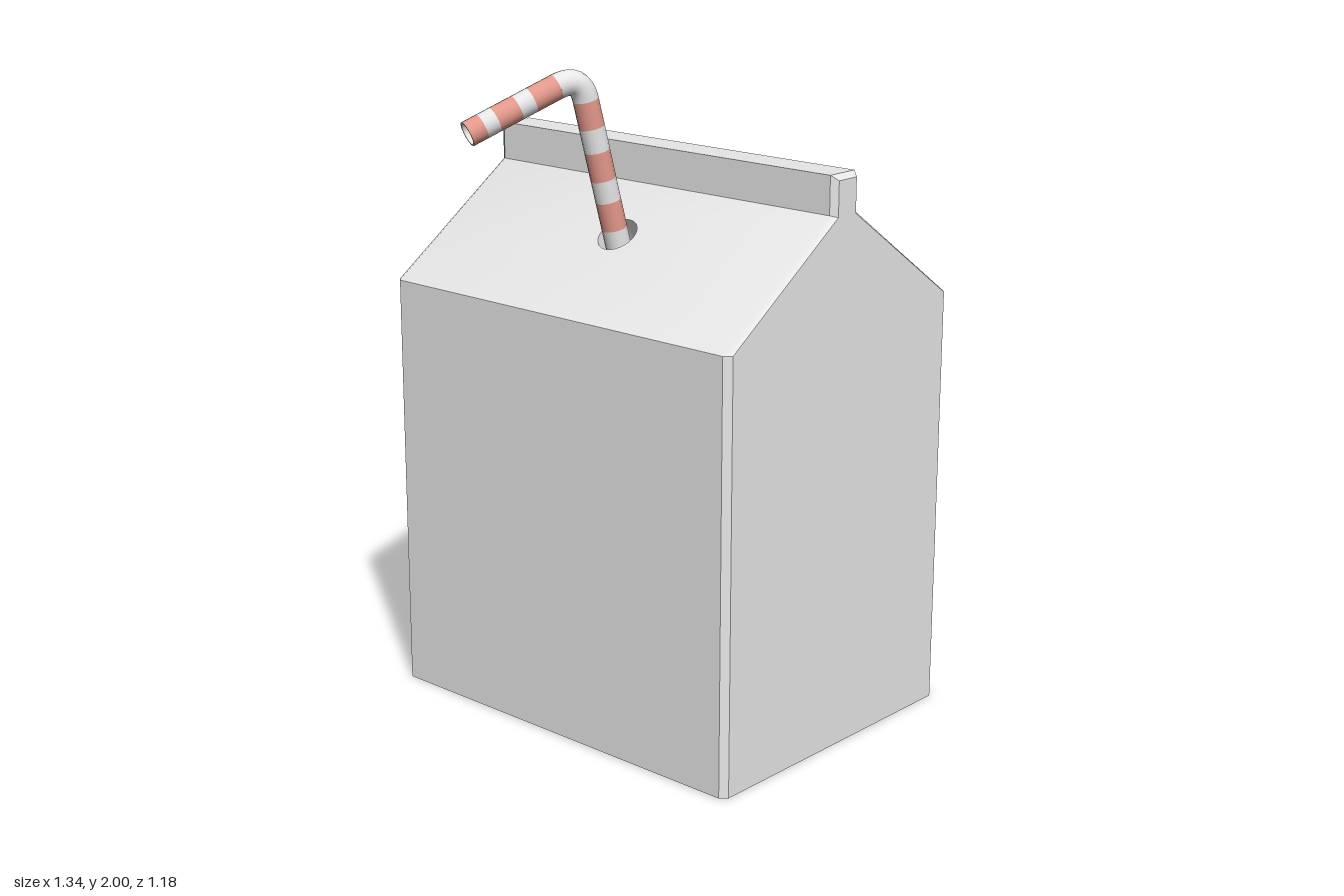
import * as THREE from 'three';
import { mergeGeometries, toCreasedNormals } from 'three/addons/utils/BufferGeometryUtils.js';

const V = (x, y, z) => new THREE.Vector3(x, y, z);

// Carton side profile as [z, y], from the front foot over the gable to the back foot
const OUTER = [[0.425, 0], [0.425, 1.31], [-0.03, 1.625], [-0.03, 1.74], [-0.14, 1.74], [-0.14, 1.625], [-0.59, 1.31], [-0.59, 0]];
// The same profile drawn in for the chamfered ends
const INNER = [[0.405, 0], [0.405, 1.31], [-0.045, 1.62], [-0.045, 1.725], [-0.125, 1.725], [-0.125, 1.62], [-0.57, 1.31], [-0.57, 0]];
const ROOF = 1; // profile edge that carries the straw hole
const HOLE = { t: 0.615, r: 0.063, depth: 0.08 };

function plain(geometry) {
  const g = geometry.index ? geometry.toNonIndexed() : geometry;
  g.deleteAttribute('uv');
  g.deleteAttribute('normal');
  return g;
}

// Walls, chamfers, floor and rear roof, spanned between cross-sections along x
function shellGeometry() {
  const sections = [[-0.67, INNER], [-0.65, OUTER], [0.65, OUTER], [0.67, INNER]];
  const pos = [];
  for (let s = 0; s < 3; s++) {
    const [x0, p] = sections[s], [x1, q] = sections[s + 1];
    for (let i = 0; i < p.length; i++) {
      if (s === 1 && i === ROOF) continue;
      const j = (i + 1) % p.length;
      const a = [x0, p[i][1], p[i][0]], b = [x1, q[i][1], q[i][0]];
      const c = [x1, q[j][1], q[j][0]], d = [x0, p[j][1], p[j][0]];
      pos.push(...a, ...b, ...c, ...a, ...c, ...d);
    }
  }
  const g = new THREE.BufferGeometry();
  g.setAttribute('position', new THREE.Float32BufferAttribute(pos, 3));
  return g;
}

// Flat gable end; side is +1 or -1
function endGeometry(side) {
  const shape = new THREE.Shape(INNER.map(([z, y]) => new THREE.Vector2(-side * z, y)));
  return plain(new THREE.ShapeGeometry(shape).rotateY(side * Math.PI / 2).translate(side * 0.67, 0, 0));
}

// Front roof panel with a round hole, laid out in x and the fraction t up the slope
function frontRoofGeometry() {
  const [z0, y0] = OUTER[ROOF], [z1, y1] = OUTER[ROOF + 1];
  const shape = new THREE.Shape([[-0.65, 0], [0.65, 0], [0.65, 1], [-0.65, 1]].map(p => new THREE.Vector2(...p)));
  const hole = new THREE.Path();
  hole.absellipse(0, HOLE.t, HOLE.r, HOLE.r / Math.hypot(z1 - z0, y1 - y0), 0, Math.PI * 2, true);
  shape.holes.push(hole);
  const g = new THREE.ShapeGeometry(shape, 12);
  const p = g.attributes.position;
  for (let i = 0; i < p.count; i++) {
    const t = p.getY(i);
    p.setXYZ(i, p.getX(i), y0 * (1 - t) + y1 * t, z0 * (1 - t) + z1 * t);
  }
  return plain(g);
}

export function createModel() {
  const white = new THREE.MeshStandardMaterial({ color: 0xececec });
  white.name = 'white';
  const red = new THREE.MeshStandardMaterial({ color: 0xe5998c });
  red.name = 'soft red';

  const model = new THREE.Group();
  model.name = 'drinkCarton';
  const add = (parent, name, geometry, material) => {
    const mesh = new THREE.Mesh(geometry, material);
    mesh.name = name;
    parent.add(mesh);
    return mesh;
  };

  // Carton
  const parts = [shellGeometry(), endGeometry(1), endGeometry(-1), frontRoofGeometry()];
  add(model, 'carton', toCreasedNormals(mergeGeometries(parts), 0.62), white);

  // Straw hole: a short well sunk square to the roof
  const [z0, y0] = OUTER[ROOF], [z1, y1] = OUTER[ROOF + 1];
  const well = new THREE.Group();
  well.name = 'strawHole';
  well.position.set(0, y0 + (y1 - y0) * HOLE.t, z0 + (z1 - z0) * HOLE.t);
  well.quaternion.setFromUnitVectors(V(0, 1, 0), V(0, z0 - z1, y1 - y0).normalize());
  const r = HOLE.r;
  add(well, 'holeWall', new THREE.LatheGeometry([new THREE.Vector2(r, 0), new THREE.Vector2(r, -HOLE.depth)], 24), white);
  add(well, 'holeFloor', new THREE.CircleGeometry(r, 24).rotateX(-Math.PI / 2).translate(0, -HOLE.depth, 0), white);
  model.add(well);

  // Bent straw
  const straw = new THREE.Group();
  straw.name = 'straw';
  model.add(straw);
  const R = 0.038, SIDES = 16;
  const base = V(0.006, 1.42, 0.132), corner = V(-0.036, 1.985, 0.26), tip = V(-0.18, 1.835, 0.57);
  const legAt = y => base.clone().lerp(corner, (y - base.y) / (corner.y - base.y));
  const armAt = z => corner.clone().lerp(tip, (z - corner.z) / (tip.z - corner.z));

  // Alternating bands from the first stop to the last, starting with white
  const bands = (name, points, first) => points.slice(1).forEach((q, i) => {
    const p = points[i];
    const g = new THREE.CylinderGeometry(R, R, p.distanceTo(q), SIDES, 1, true);
    const mesh = add(straw, name + 'Band' + (i + 1), g, (i + first) % 2 ? red : white);
    mesh.position.copy(p).lerp(q, 0.5);
    mesh.quaternion.setFromUnitVectors(V(0, 1, 0), q.clone().sub(p).normalize());
  });
  bands('leg', [1.42, 1.525, 1.61, 1.675, 1.76, 1.83, 1.91].map(legAt), 0);
  bands('arm', [0.325, 0.395, 0.435, 0.495, 0.53, 0.57].map(armAt), 1);

  // Rounded elbow
  const elbow = new THREE.QuadraticBezierCurve3(legAt(1.91), corner, armAt(0.325));
  add(straw, 'elbow', new THREE.TubeGeometry(elbow, 10, R, SIDES, false), white);

  // Open mouth: rim and inner wall
  const mouth = new THREE.Group();
  mouth.name = 'strawMouth';
  mouth.position.copy(tip);
  mouth.quaternion.setFromUnitVectors(V(0, 1, 0), tip.clone().sub(corner).normalize());
  const ri = R - 0.005;
  add(mouth, 'rim', new THREE.RingGeometry(ri, R, SIDES).rotateX(-Math.PI / 2), white);
  add(mouth, 'innerWall', new THREE.LatheGeometry([new THREE.Vector2(ri, 0), new THREE.Vector2(ri, -0.24)], SIDES), white);
  add(mouth, 'innerEnd', new THREE.CircleGeometry(ri, SIDES).rotateX(-Math.PI / 2).translate(0, -0.24, 0), white);
  straw.add(mouth);

  return model;
}
